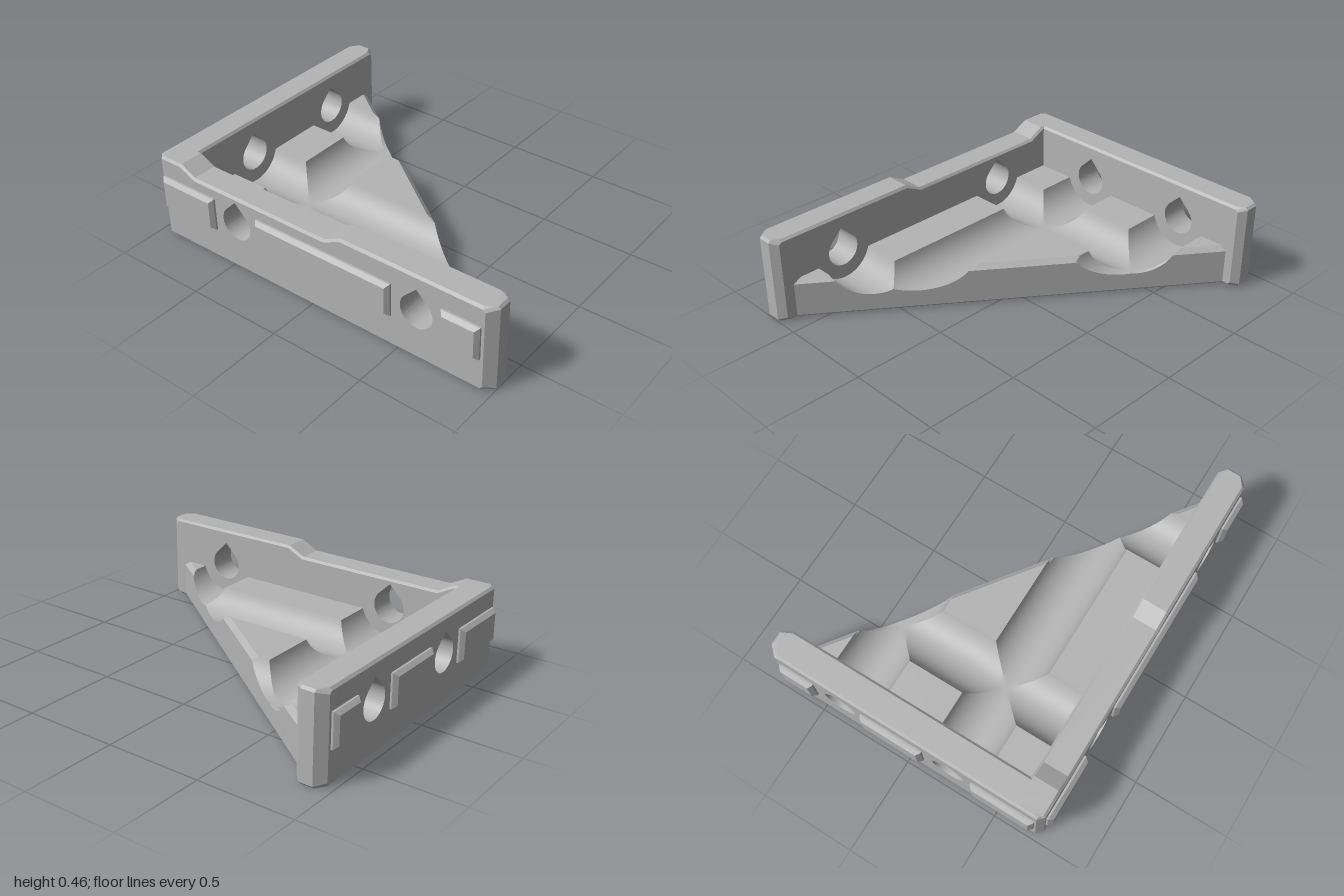
import * as THREE from 'three';
import { toCreasedNormals } from 'three/addons/utils/BufferGeometryUtils.js';

const THICK = 0.15, EDGE = 0.012, TOP = 0.455;

// Upright wall with teardrop holes. Local z runs from inner face (0) to outer face (THICK).
// ends: [inner, outer] corner chamfers at the u0 and u1 ends; dip: extra top profile points, right to left.
function wallGeometry(u0, u1, ends, holes, dip = []) {
  const e = EDGE, n = 0.06;
  const shape = new THREE.Shape([
    [u0 + e, 0], [u0 + n, 0], [u1 - n, 0], [u1 - e, 0], [u1, e], [u1, TOP - e], [u1 - e, TOP], [u1 - n, TOP],
    ...dip, [u0 + n, TOP], [u0 + e, TOP], [u0, TOP - e], [u0, e],
  ].map(([x, y]) => new THREE.Vector2(x, y)));
  for (const u of holes) {
    const drop = new THREE.Path();
    drop.moveTo(u, 0.383);
    drop.absarc(u, 0.26, 0.087, Math.PI / 4, Math.PI * 3 / 4, true);
    drop.lineTo(u, 0.383);
    shape.holes.push(drop);
  }
  const geo = new THREE.ExtrudeGeometry(shape, { depth: THICK, steps: 3, bevelEnabled: false, curveSegments: 32 });
  // Pull the outer slices in to chamfer all long edges and the vertical end corners
  const p = geo.attributes.position;
  for (let i = 0; i < p.count; i++) {
    let x = p.getX(i), y = p.getY(i);
    const level = Math.round(p.getZ(i) / THICK * 3);
    const side = level < 2 ? 0 : 1;
    const end = x - u0 < 0.02 ? 0 : u1 - x < 0.02 ? 1 : -1;
    const cut = end < 0 ? EDGE : ends[end][side];
    if (level === 0 || level === 3) {
      if (end === 0) x += cut;
      if (end === 1) x -= cut;
      if (y > 0.4) y -= EDGE;
      else if (y < 0.02) y += EDGE;
    }
    p.setXYZ(i, x, y, [0, cut, THICK - cut, THICK][level]);
  }
  return toCreasedNormals(geo, 0.45);
}

// Raised pad with bevelled rim on the outer face of a wall
function padGeometry(a, b) {
  const geo = new THREE.BoxGeometry(b - a, 0.175, 0.04, 1, 1, 2);
  const p = geo.attributes.position;
  for (let i = 0; i < p.count; i++) {
    const z = p.getZ(i);
    if (z > 0.01) {
      p.setX(i, p.getX(i) - Math.sign(p.getX(i)) * 0.018);
      p.setY(i, p.getY(i) - Math.sign(p.getY(i)) * 0.018);
    }
  }
  geo.translate((a + b) / 2, 0.2625, THICK + 0.01);
  return toCreasedNormals(geo, 0.3);
}

// Triangular floor with rounded channels leading to each hole
function floorGeometry(channelX, channelZ) {
  const R = 0.16, AXIS = 0.26, FLAT = 0.215, LIP = 0.025;
  const half = Math.sqrt(R * R - (AXIS - FLAT) ** 2), sweep = Math.asin(half / R), N = 10;
  const channel = d => (Math.abs(d) < half ? AXIS - Math.sqrt(R * R - d * d) : FLAT);
  const inside = ([x, z]) => (-(x + 0.82) * 1.28 + (z + 0.69) * 1.73) / 2.152; // distance from slanted side
  const height = q => Math.min(FLAT, FLAT - LIP + Math.max(0, inside(q)),
    ...channelX.map(c => channel(q[0] - c)), ...channelZ.map(c => channel(q[1] - c)));
  const lines = (start, centres, stop) => {
    const out = [start];
    for (const c of centres) for (let i = -N; i <= N; i++) out.push(c + R * Math.sin(sweep * i / N));
    return [...out, stop];
  };
  const clip = (poly, f) => {
    const out = [];
    poly.forEach((a, i) => {
      const b = poly[(i + 1) % poly.length], fa = f(a), fb = f(b);
      if (fa >= 0) out.push(a);
      if ((fa > 0 && fb < 0) || (fa < 0 && fb > 0)) {
        const t = fa / (fa - fb);
        out.push([a[0] + (b[0] - a[0]) * t, a[1] + (b[1] - a[1]) * t]);
      }
    });
    return out;
  };
  const area = poly => Math.abs(poly.reduce((s, a, i) => {
    const b = poly[(i + 1) % poly.length];
    return s + a[0] * b[1] - a[1] * b[0];
  }, 0));
  const verts = [];
  const tri = (a, b, c) => verts.push(...a, ...b, ...c);
  const at = (q, y = height(q)) => [q[0], y, q[1]];
  const fan = poly => {
    if (poly.length < 3 || area(poly) < 1e-9) return false;
    for (let i = 1; i < poly.length - 1; i++) tri(at(poly[0]), at(poly[i]), at(poly[i + 1]));
    return true;
  };
  const nearest = (v, list) => list.reduce((m, c) => (Math.abs(v - c) < Math.abs(m) ? v - c : m), 9);

  const xs = lines(-0.835, channelX, 0.95), zs = lines(-0.72, channelZ, 0.605);
  for (let i = 0; i < xs.length - 1; i++) for (let j = 0; j < zs.length - 1; j++) {
    const a = [xs[i], zs[j]], b = [xs[i], zs[j + 1]], c = [xs[i + 1], zs[j + 1]], d = [xs[i + 1], zs[j]];
    // Split along the crease where two channels cross
    const slope = nearest((a[0] + c[0]) / 2, channelX) * nearest((a[1] + c[1]) / 2, channelZ);
    for (const t of slope > 0 ? [[a, b, c], [a, c, d]] : [[a, b, d], [b, c, d]]) {
      fan(clip(t, q => inside(q) - LIP));
      const rim = clip(clip(t, q => LIP - inside(q)), inside);
      if (!fan(rim)) continue;
      // Upright face along the slanted side
      rim.forEach((p, k) => {
        const q = rim[(k + 1) % rim.length];
        if (Math.abs(inside(p)) > 1e-6 || Math.abs(inside(q)) > 1e-6) return;
        tri(at(q), at(p), at(p, EDGE));
        tri(at(q), at(p, EDGE), at(q, EDGE));
      });
    }
  }
  // Underside with chamfered slanted edge
  const P = [-0.835, -0.701], Q = [0.93, 0.605], C = [-0.835, 0.605];
  const inset = q => [q[0] - 0.595 * EDGE, q[1] + 0.804 * EDGE];
  const P2 = inset(P), Q2 = inset(Q);
  tri(at(P, EDGE), at(Q, EDGE), at(Q2, 0));
  tri(at(P, EDGE), at(Q2, 0), at(P2, 0));
  tri(at(P2, 0), at(Q2, 0), at(C, 0));

  const geo = new THREE.BufferGeometry();
  geo.setAttribute('position', new THREE.Float32BufferAttribute(verts, 3));
  return toCreasedNormals(geo, 0.4);
}

export function createModel() {
  const grey = new THREE.MeshStandardMaterial({ color: 0xb4b4b4 });
  grey.name = 'grey';
  const model = new THREE.Group();
  model.name = 'cornerBracket';
  const add = (parent, name, geo) => {
    const mesh = new THREE.Mesh(geo, grey);
    mesh.name = name;
    parent.add(mesh);
  };
  const holesX = [-0.455, 0.605], holesZ = [-0.38, 0.23];
  const square = [0, 0.03], free = [0.035, 0.045];

  // Long front wall with a shallow dip in its top
  const front = new THREE.Group();
  front.name = 'frontSide';
  front.position.z = 0.59;
  add(front, 'frontWall', wallGeometry(-0.97, 1, [square, free], holesX,
    [[0.18, TOP], [0.09, 0.41], [-0.725, 0.41], [-0.81, TOP]]));
  for (const [a, b] of [[-0.93, -0.59], [-0.32, 0.47], [0.74, 0.94]]) add(front, 'frontPad', padGeometry(a, b));

  // Shorter wall at right angles
  const side = new THREE.Group();
  side.name = 'shortSide';
  side.position.x = -0.82;
  side.rotation.y = -Math.PI / 2;
  add(side, 'shortWall', wallGeometry(-0.77, 0.74, [free, square], holesZ));
  for (const [a, b] of [[-0.71, -0.52], [-0.25, 0.09], [0.36, 0.7]]) add(side, 'shortPad', padGeometry(a, b));

  model.add(front, side);
  add(model, 'floor', floorGeometry(holesX, holesZ));
  return model;
}
